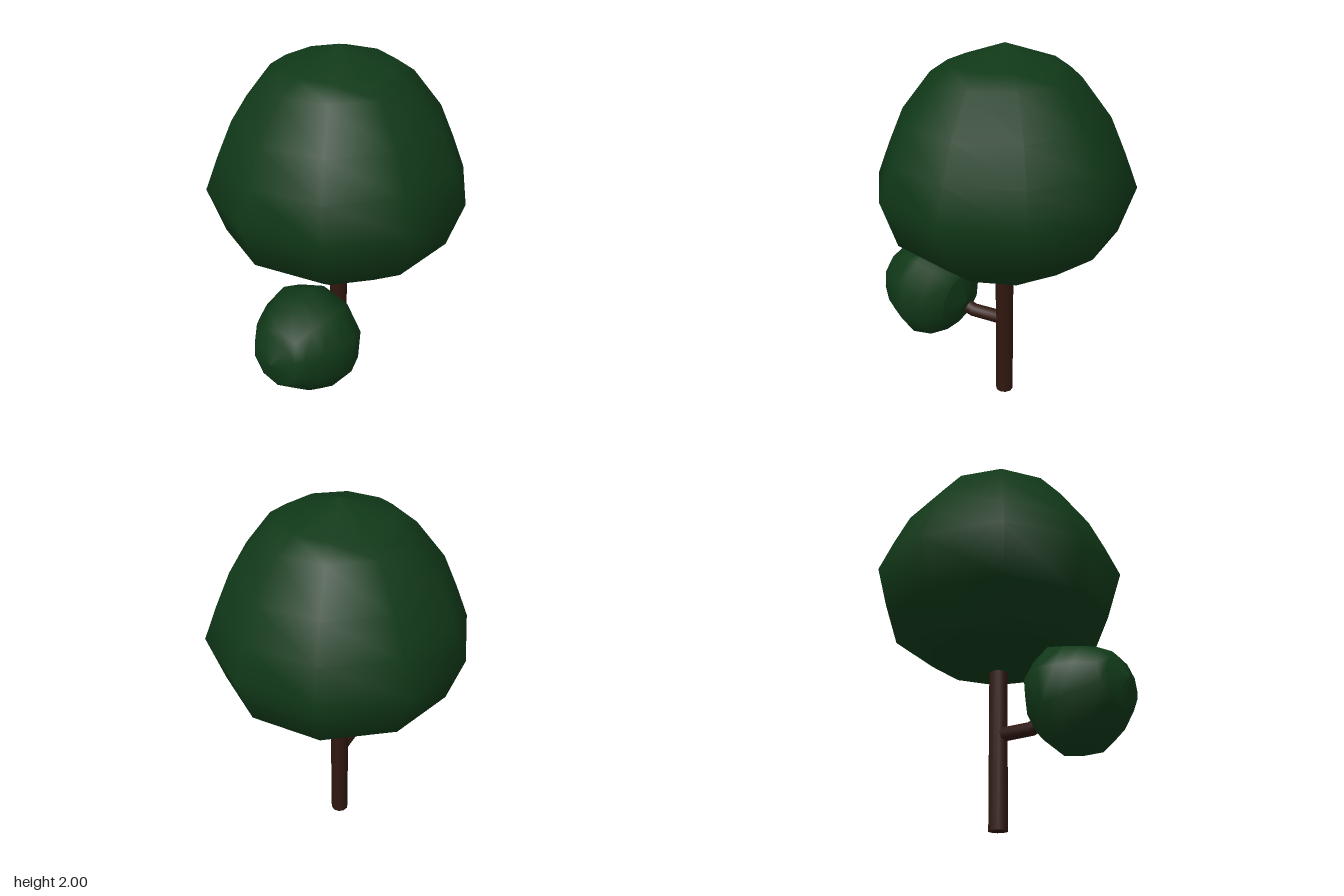
import * as THREE from 'three';

const leaf = new THREE.MeshStandardMaterial({ color: 0x103818 });
const bark = new THREE.MeshStandardMaterial({ color: 0x30170f });

// Dome profile as [radius, height] measured from the widest ring
const rim = [0.367, -0.415];
const crownProfile = [
  rim, [0.59, -0.245], [0.67, 0], [0.6, 0.175], [0.52, 0.355],
  [0.37, 0.545], [0.28, 0.605], [0, 0.695],
];
const undersideProfile = [[0, -0.505], rim];

function addMesh(parent, name, geometry, material) {
  const mesh = new THREE.Mesh(geometry, material);
  mesh.name = name;
  parent.add(mesh);
  return mesh;
}

function turned(profile) {
  return new THREE.LatheGeometry(profile.map(([r, y]) => new THREE.Vector2(r, y)), 10);
}

// Ten-sided foliage: smooth dome with a creased underside
function makeFoliage(name) {
  const foliage = new THREE.Group();
  foliage.name = name;
  addMesh(foliage, 'dome', turned(crownProfile), leaf);
  addMesh(foliage, 'underside', turned(undersideProfile), leaf);
  return foliage;
}

export function createModel() {
  const tree = new THREE.Group();
  tree.name = 'tree';

  // Trunk
  const trunk = addMesh(tree, 'trunk', new THREE.CylinderGeometry(0.049, 0.049, 0.9, 10), bark);
  trunk.position.set(0, 0.45, -0.018);

  // Branch with one elbow, rising into the small foliage
  const path = new THREE.CatmullRomCurve3([
    new THREE.Vector3(0, 0.475, -0.018),
    new THREE.Vector3(0.06, 0.475, 0.17),
    new THREE.Vector3(0.13, 0.56, 0.33),
  ]);
  addMesh(tree, 'branch', new THREE.TubeGeometry(path, 2, 0.038, 8), bark);

  // Main crown
  const crown = makeFoliage('crown');
  crown.position.set(0, 1.305, -0.018);
  tree.add(crown);

  // Small foliage at the branch end, tipped over to face forward
  const tuft = makeFoliage('branchFoliage');
  tuft.scale.set(0.43, 0.455, 0.43);
  tuft.rotation.set(Math.PI / 2 - 0.12, 0.15, 0, 'YXZ');
  tuft.position.set(0.16, 0.588, 0.383);
  tree.add(tuft);

  return tree;
}
